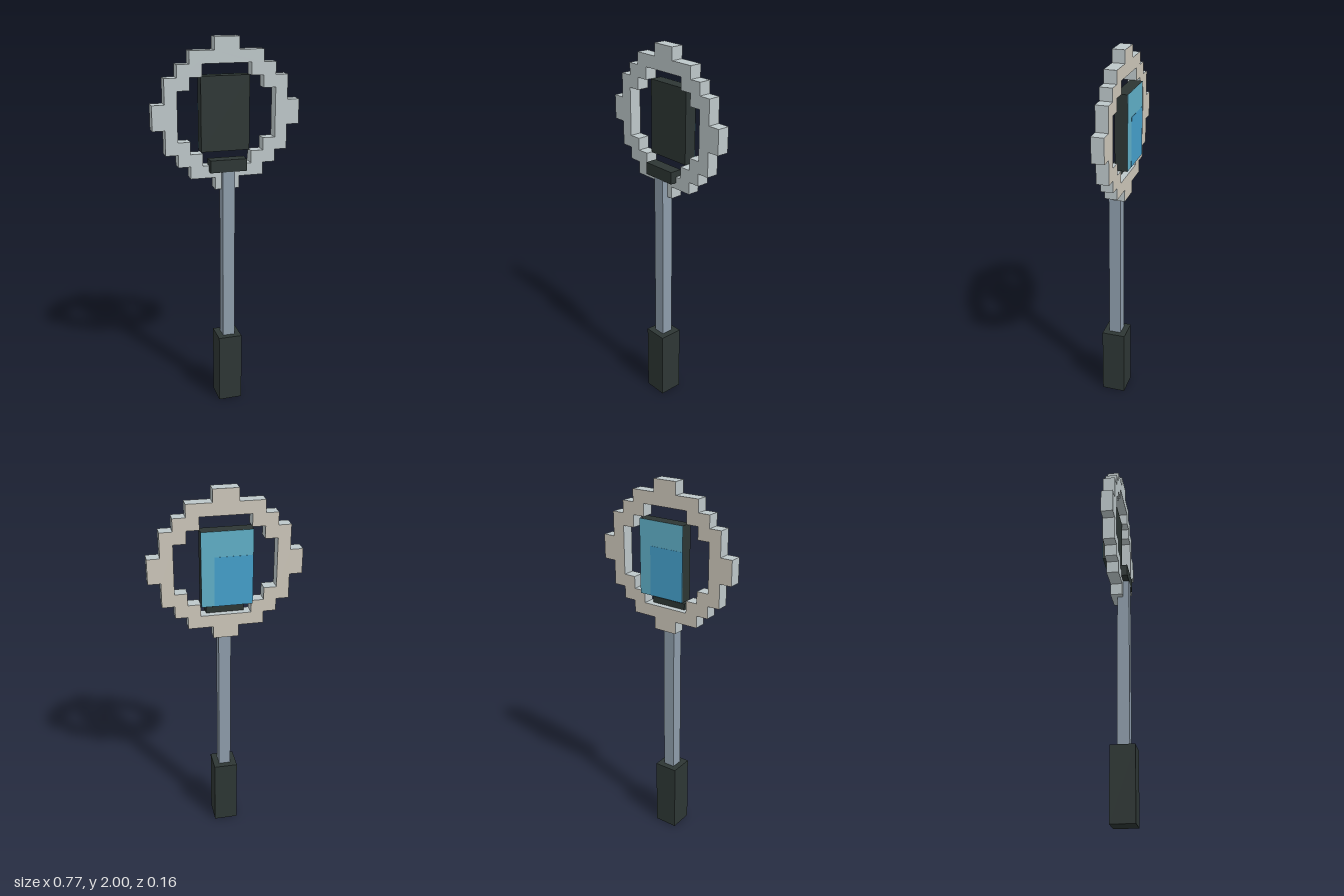
import * as THREE from 'three';

const U = 2 / 31; // block unit: the model is 31 blocks tall

const material = (name, color) => {
  const m = new THREE.MeshStandardMaterial({ color });
  m.name = name;
  return m;
};

// Stepped outline, symmetric in x and y, from one quadrant's corner points
function steppedOutline(quadrant) {
  const mirrored = [...quadrant].reverse();
  return [
    ...quadrant,
    ...mirrored.map(([x, y]) => [-x, y]),
    ...quadrant.map(([x, y]) => [-x, -y]),
    ...mirrored.map(([x, y]) => [x, -y]),
  ].map(([x, y]) => new THREE.Vector2(x * U, y * U));
}

export function createModel() {
  const group = new THREE.Group();
  group.name = 'wand';

  const dark = material('dark grip', 0x2d3634);
  const steel = material('blue grey steel', 0x8e9dab);
  const pale = material('pale grey', 0xbdc7c9);
  const beige = material('beige', 0xcdc7ba);
  const teal = material('teal glass', 0x60b0c8);
  const blue = material('blue glass', 0x45a0cc);

  const add = (name, geometry, mat, x, y, z) => {
    const mesh = new THREE.Mesh(geometry, mat);
    mesh.name = name;
    mesh.position.set(x, y, z);
    group.add(mesh);
  };
  // Box given by its limits in block units
  const block = (name, mat, x0, x1, y0, y1, z0, z1) =>
    add(name, new THREE.BoxGeometry((x1 - x0) * U, (y1 - y0) * U, (z1 - z0) * U), mat,
      (x0 + x1) / 2 * U, (y0 + y1) / 2 * U, (z0 + z1) / 2 * U);

  // Handle, shaft and collar
  block('handle', dark, -1, 1, 0, 6, -0.75, 1.25);
  block('shaft', steel, -0.5, 0.5, 6, 20.5, -0.25, 0.75);
  block('collar', dark, -1.5, 1.5, 20.5, 21.5, -0.25, 0.75);

  // Stepped ring with an open middle
  const ring = new THREE.Shape(steppedOutline(
    [[6, 1], [5, 1], [5, 3], [4, 3], [4, 4], [3, 4], [3, 5], [1, 5], [1, 6]]));
  ring.holes.push(new THREE.Path(steppedOutline(
    [[4, 2], [3, 2], [3, 3], [2, 3], [2, 4]])));
  add('ring', new THREE.ExtrudeGeometry(ring, { depth: U, bevelEnabled: false }), pale,
    0, 25 * U, -0.75 * U);

  // Beige face on the back of the ring
  add('ringBack', new THREE.ShapeGeometry(ring).rotateY(Math.PI), beige,
    0, 25 * U, -0.75 * U - 0.001);

  // Screen with its two-tone glass on the back
  block('screen', dark, -2, 2, 22, 28, -1.25, -0.25);
  block('glass', teal, -2, 2, 22, 28, -1.265, -1.25);
  block('glassShade', blue, -2, 1, 22, 26, -1.28, -1.265);

  return group;
}
